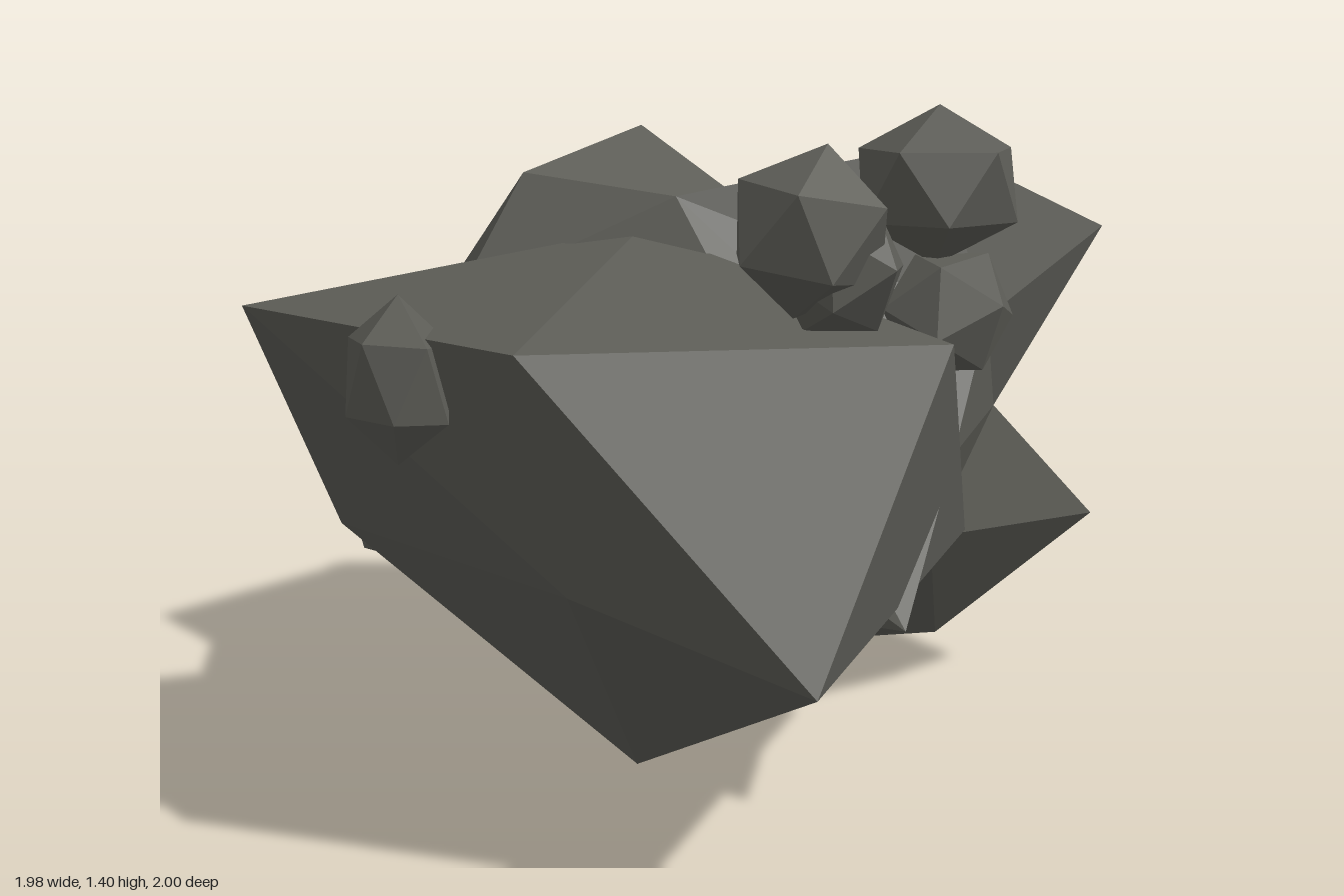
import * as THREE from 'three';
import { ConvexGeometry } from 'three/addons/geometries/ConvexGeometry.js';

const stone = new THREE.MeshStandardMaterial({ color: 0x5c5c56 });
stone.name = 'darkStone';

// Faceted boulder: corners are joined by the hull of their directions from the
// centre, then put back in place, so dents and overhangs survive.
function boulder(name, centre, corners) {
  const c = new THREE.Vector3(...centre);
  const points = corners.map((p) => new THREE.Vector3(...p));
  const dirs = points.map((p) => p.clone().sub(c).normalize());
  const geometry = new ConvexGeometry(dirs);
  const pos = geometry.attributes.position;
  const v = new THREE.Vector3();
  for (let i = 0; i < pos.count; i++) {
    v.fromBufferAttribute(pos, i);
    let best = 0;
    dirs.forEach((d, j) => {
      if (d.distanceToSquared(v) < dirs[best].distanceToSquared(v)) best = j;
    });
    pos.setXYZ(i, points[best].x, points[best].y, points[best].z);
  }
  geometry.computeVertexNormals();
  const mesh = new THREE.Mesh(geometry, stone);
  mesh.name = name;
  return mesh;
}

// Small twenty-sided stone
function pebble(name, position, size, turn) {
  const geometry = new THREE.IcosahedronGeometry(1, 0);
  geometry.rotateX(turn[0]).rotateZ(turn[2]).rotateY(turn[1]).scale(...size);
  geometry.computeVertexNormals();
  const mesh = new THREE.Mesh(geometry, stone);
  mesh.name = name;
  mesh.position.set(...position);
  return mesh;
}

export function createModel() {
  const group = new THREE.Group();
  group.name = 'rockCluster';

  // Large hollow-topped boulder
  group.add(boulder('largeBoulder', [0.25, 0.7, -0.1], [
    // front face and overhang
    [0.91, 1.1, 0.45], [0.35, 1.31, 0.43], [0.39, 0.95, 0.56], [0.17, 0.7, 0.67],
    [0.56, 0.72, 0.44], [0.69, 0.72, 0.1], [0.9, 0.42, 0.46], [0.33, 0.46, 0.47],
    [-0.11, 0.42, 0.81],
    // underside
    [0.61, 0.13, 0.24], [0.19, 0.11, -0.06], [0.6, 0.19, -0.34], [-0.47, 0.36, -0.57],
    // top rim and hollow
    [0.69, 0.9, -0.07], [0.2, 1.07, -0.07], [-0.16, 1.21, 0.19], [-0.17, 1.23, -0.33],
    [0.36, 1.31, -0.56], [0.75, 1.02, -0.48],
    // sides and back, with a crease below the rear rim
    [0.99, 0.38, -0.07], [0.61, 0.72, -0.65], [0, 0.98, -0.65], [0.38, 1, -0.565],
    [0.19, 0.73, -1], [-0.4, 0.72, -0.89], [-0.38, 0.83, -0.5], [-0.51, 1, -0.1],
    [0.46, 0.4, -0.78], [0.05, 0.47, -0.78],
  ]));

  // Lower boulder leaning out to the front
  group.add(boulder('frontBoulder', [-0.35, 0.6, 0.25], [
    [-0.53, 0.43, 1], [-0.9, 1.02, 0.65], [-0.26, 0, 0.18], [-0.03, 0.97, 0.84],
    [0.35, 0.49, 0.55], [-0.75, 0.56, 0.59], [-0.9, 1, -0.29], [-0.51, 0.42, -0.6],
    [-0.18, 1.14, 0.1], [0.1, 0.98, 0.45], [0.15, 0.6, -0.2],
  ]));

  // Small stones resting on the boulders
  const pebbles = [
    [[0.19, 1.24, 0.59], [0.19, 0.16, 0.175], [0, 0.3, 0.55]],
    [[0.2, 0.985, 0.62], [0.165, 0.14, 0.12], [0.4, 0.2, 0.1]],
    [[-0.3, 1.19, 0.73], [0.17, 0.16, 0.155], [0.2, 0.5, 0.5]],
    [[-0.235, 1.12, 0.74], [0.125, 0.135, 0.135], [0.5, 0.1, 0.3]],
    [[-0.905, 0.93, 0.3], [0.1, 0.155, 0.125], [0, 0.2, 0.5]],
  ];
  pebbles.forEach((p, i) => group.add(pebble(`pebble${i + 1}`, ...p)));
  return group;
}
